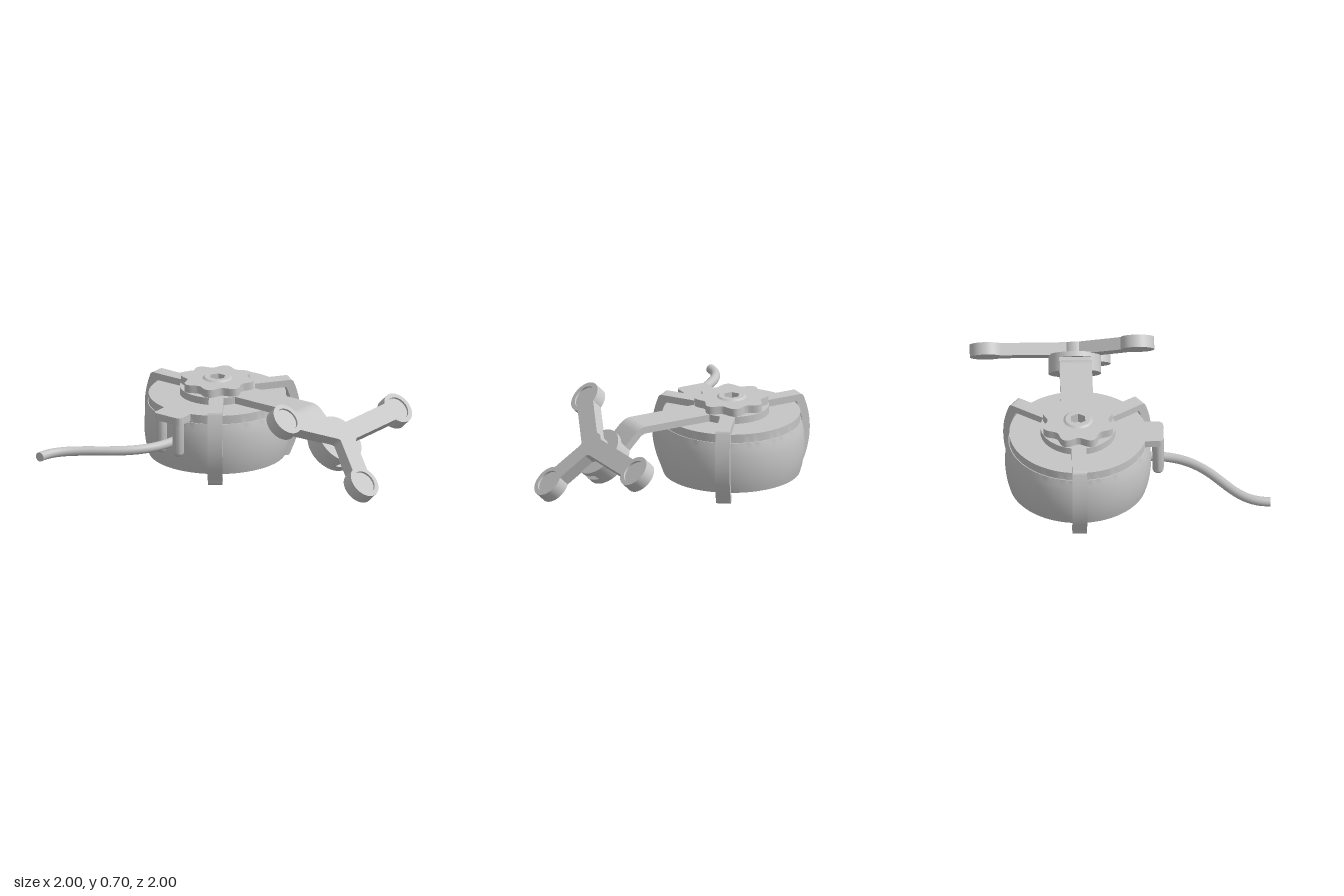
import * as THREE from 'three';
import { toCreasedNormals } from 'three/addons/utils/BufferGeometryUtils.js';

const V2 = (x, y) => new THREE.Vector2(x, y);
const CX = -0.425, CZ = -0.29; // drum axis

export function createModel() {
  const root = new THREE.Group();
  root.name = 'drumClampWithTripod';
  const grey = new THREE.MeshStandardMaterial({ color: 0xc5c5c5 });
  grey.name = 'lightGrey';

  const add = (parent, name, geometry, x = 0, y = 0, z = 0) => {
    const mesh = new THREE.Mesh(geometry, grey);
    mesh.name = name;
    mesh.position.set(x, y, z);
    parent.add(mesh);
    return mesh;
  };
  const lathe = (points, segments = 64) =>
    toCreasedNormals(new THREE.LatheGeometry(points.map(p => V2(...p)), segments), 0.5);
  const extrude = (shape, depth) =>
    toCreasedNormals(new THREE.ExtrudeGeometry(shape, { depth, bevelEnabled: false, curveSegments: 24 }), 0.5);
  // Plan outline raised along y
  const slab = (shape, height) => extrude(shape, height).rotateX(-Math.PI / 2);
  // Side profile given a width centred on z
  const strip = (shape, width) => extrude(shape, width).translate(0, 0, -width / 2);
  const ring = (n, radius) => Array.from({ length: n }, (_, i) => {
    const a = i / n * Math.PI * 2, r = radius(a);
    return V2(r * Math.cos(a), r * Math.sin(a));
  });
  const hexHole = () => new THREE.Path(ring(6, () => 0.056));

  // Barrel-sided drum
  add(root, 'drum', lathe([[0, 0.07], [0.465, 0.07], [0.479, 0.12], [0.488, 0.17], [0.494, 0.225],
    [0.495, 0.28], [0.491, 0.34], [0.484, 0.385], [0.472, 0.43], [0.466, 0.43], [0.466, 0.49], [0, 0.49]], 96),
  CX, 0, CZ);

  // Three clamp legs hugging the drum
  const leg = new THREE.Shape();
  leg.moveTo(0, 0.492);
  leg.lineTo(0.475, 0.492);
  leg.quadraticCurveTo(0.575, 0.27, 0.455, 0.035);
  leg.quadraticCurveTo(0.455, 0.002, 0.48, 0);
  leg.quadraticCurveTo(0.502, 0, 0.508, 0.03);
  leg.quadraticCurveTo(0.632, 0.27, 0.53, 0.52);
  leg.quadraticCurveTo(0.523, 0.54, 0.5, 0.54);
  leg.lineTo(0, 0.54);
  const legGeometry = strip(leg, 0.1);
  for (const [name, degrees] of [['backLeg', 55], ['frontLeg', -55], ['rightLeg', 180]]) {
    add(root, name, legGeometry, CX, 0, CZ).rotation.y = THREE.MathUtils.degToRad(degrees);
  }

  // Hub plate, scalloped knob and hex-socket cap with a sloped rim
  add(root, 'hubPlate', new THREE.CylinderGeometry(0.255, 0.255, 0.05, 64), CX, 0.515, CZ);
  const knob = new THREE.Shape(ring(160, a => 0.229 - 0.023 * Math.cos(8 * a)));
  knob.holes.push(hexHole());
  add(root, 'knob', slab(knob, 0.055), CX, 0.54, CZ);
  const cap = new THREE.Shape(ring(64, () => 0.086));
  cap.holes.push(hexHole());
  add(root, 'cap', slab(cap, 0.011), CX, 0.595, CZ);
  add(root, 'capRim', lathe([[0.1, 0.595], [0.086, 0.606]]), CX, 0, CZ);

  // Flat arm curving down 45 degrees
  const arm = new THREE.Shape();
  arm.moveTo(CX, 0.491);
  arm.lineTo(0.29, 0.491);
  arm.quadraticCurveTo(0.32, 0.491, 0.341, 0.47);
  arm.lineTo(0.476, 0.334);
  arm.lineTo(0.51, 0.369);
  arm.lineTo(0.38, 0.5);
  arm.quadraticCurveTo(0.34, 0.54, 0.295, 0.54);
  arm.lineTo(CX, 0.54);
  add(root, 'bentArm', strip(arm, 0.22), 0, 0, CZ);

  // Tilted head: local x runs down the slope, local y points outward
  const head = new THREE.Group();
  head.name = 'tiltedHead';
  head.rotation.z = -Math.PI / 4;
  root.add(head);

  // Swivel disc with a slot cut into its upper and lower ends
  const disc = (name, bottom, top, cut) => add(head, name, slab(new THREE.Shape(
    ring(96, () => 0.178).map(p => V2(THREE.MathUtils.clamp(p.x, -cut, cut), p.y))), top - bottom), 0.162, bottom, CZ);
  disc('swivelBase', 0.573, 0.622, 0.178);
  disc('swivelCore', 0.622, 0.665, 0.142);
  disc('swivelFlange', 0.665, 0.7, 0.178);

  // Three spokes ending in recessed pads
  const hub = V2(0.158, -0.28);
  const low = 0.693, high = 0.778, thick = high - low;
  add(head, 'spokeHub', new THREE.CylinderGeometry(0.093, 0.093, thick, 40), hub.x, (low + high) / 2, hub.y);
  const padGeometry = lathe([[0, low], [0.114, low], [0.114, high], [0.082, high],
    [0.082, high - 0.014], [0, high - 0.014]], 48);
  for (const [name, x, z] of [['back', 0.154, -0.886], ['lower', 0.525, -0.153], ['upper', -0.097, 0.132]]) {
    add(head, name + 'Pad', padGeometry, x, 0, z);
    const dx = x - hub.x, dz = z - hub.y, length = Math.hypot(dx, dz) - 0.09;
    const spoke = add(head, name + 'Spoke', new THREE.BoxGeometry(length, thick, 0.134).translate(length / 2, 0, 0),
      hub.x, (low + high) / 2, hub.y);
    spoke.rotation.y = Math.atan2(-dz, dx);
  }

  // Cable guide: tab with two round-ended prongs
  const tab = new THREE.Shape();
  tab.moveTo(-0.112, 0.1);
  tab.lineTo(-0.112, -0.25);
  tab.quadraticCurveTo(-0.112, -0.288, -0.075, -0.288);
  tab.lineTo(0.075, -0.288);
  tab.quadraticCurveTo(0.112, -0.288, 0.112, -0.25);
  tab.lineTo(0.112, 0.1);
  add(root, 'cableTab', slab(tab, 0.05), CX, 0.44, 0);
  const prongProfile = Array.from({ length: 9 }, (_, i) => {
    const a = i / 8 * Math.PI / 2;
    return [0.039 * Math.sin(a), 0.24 - 0.039 * Math.cos(a)];
  });
  const prongGeometry = lathe([...prongProfile, [0.039, 0.485]], 24);
  for (const side of [-1, 1]) {
    add(root, side < 0 ? 'rightProng' : 'leftProng', prongGeometry, CX + side * 0.073, 0, 0.25);
  }

  // S-curved cable running out between the prongs
  const curve = new THREE.CubicBezierCurve3(...[[-0.425, 0.18], [-0.425, 0.68], [-0.965, 0.66], [-0.965, 1]]
    .map(([x, z]) => new THREE.Vector3(x, 0.283, z)));
  add(root, 'cable', new THREE.TubeGeometry(curve, 60, 0.032, 20));
  add(root, 'cableEnd', new THREE.CircleGeometry(0.032, 20), -0.965, 0.283, 1);

  return root;
}
